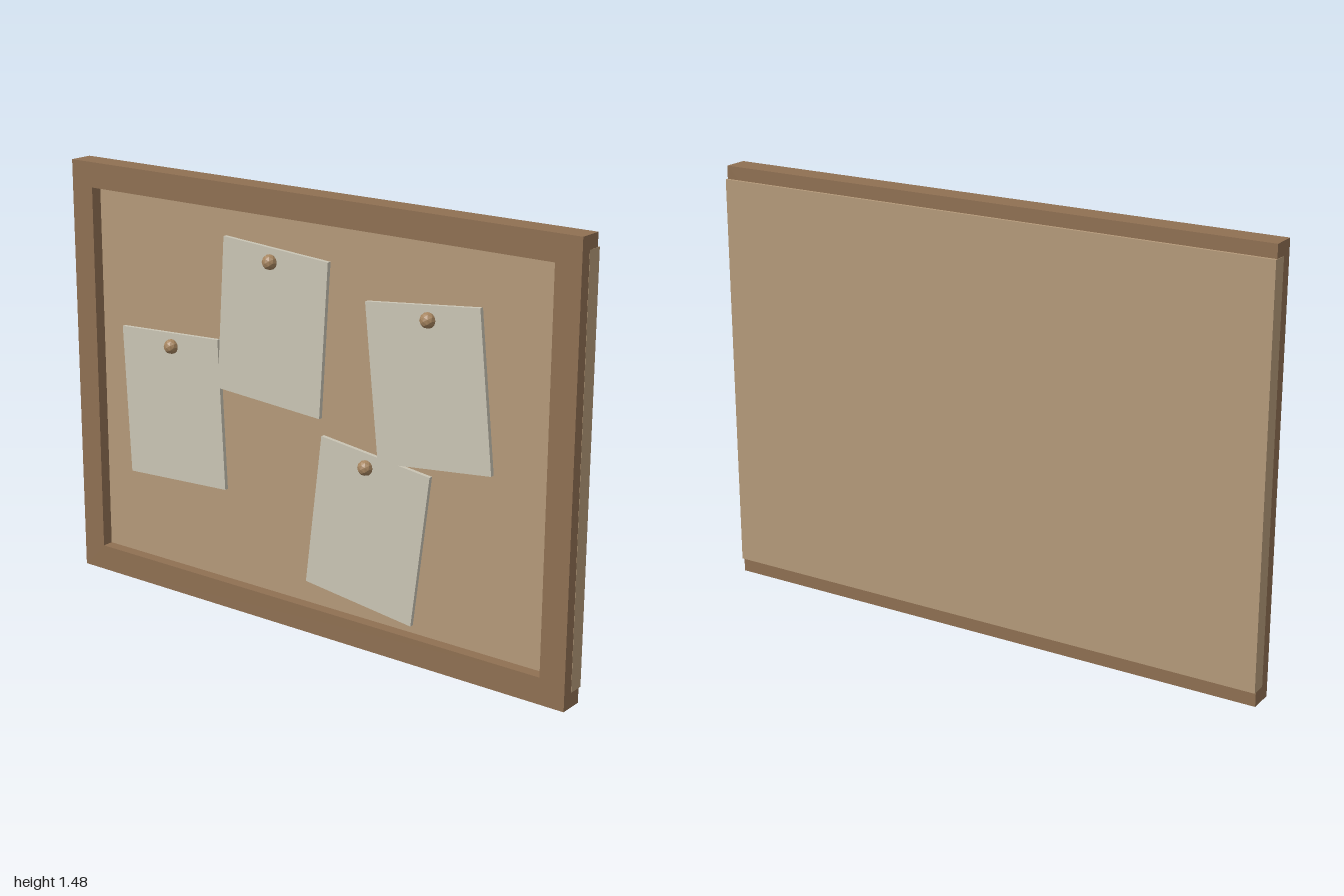
import * as THREE from 'three';

export function createModel() {
  const group = new THREE.Group();
  group.name = 'pinboard';

  const mat = (name, color) => {
    const m = new THREE.MeshStandardMaterial({ color });
    m.name = name;
    return m;
  };
  const wood = mat('frameWood', 0x8f7052);
  const cork = mat('cork', 0xb59a7a);
  const paper = mat('paper', 0xcac5b5);
  const brass = mat('pinBrass', 0xa5845f);
  brass.flatShading = true;

  const add = (name, geometry, material, x, y, z, turn = 0) => {
    const mesh = new THREE.Mesh(geometry, material);
    mesh.name = name;
    mesh.position.set(x, y, z);
    mesh.rotation.z = THREE.MathUtils.degToRad(turn);
    group.add(mesh);
  };

  // Rectangle outline, used for the frame and its opening
  const rect = (path, x, y0, y1) =>
    path.moveTo(-x, y0).lineTo(x, y0).lineTo(x, y1).lineTo(-x, y1).closePath();

  // Wooden frame with a rectangular opening, a hair narrower than the backing
  const outline = rect(new THREE.Shape(), 0.9992, 0, 1.475);
  outline.holes.push(rect(new THREE.Path(), 0.91, 0.09, 1.388));
  const frame = new THREE.ExtrudeGeometry(outline, { depth: 0.085, bevelEnabled: false });
  add('frame', frame, wood, 0, 0, -0.04);

  // Cork panel, reaching the sides and standing proud of the frame at the back
  add('corkBoard', new THREE.BoxGeometry(2, 1.38, 0.055), cork, 0, 0.74, -0.0225);

  // Notes: centre x, centre y, turn in degrees, small lift where they overlap
  const notes = [
    [-0.585, 0.664, 2.8, 0],
    [-0.155, 1.017, -3.7, 0.0005],
    [0.46, 0.924, 6, 0.0005],
    [0.23, 0.402, -7, 0],
  ];
  const sheet = new THREE.BoxGeometry(0.427, 0.522, 0.018);
  const pinHead = new THREE.IcosahedronGeometry(0.026, 1);
  for (const [x, y, turn, lift] of notes) {
    add('note', sheet, paper, x, y, 0.01 + lift, turn);
    add('pin', pinHead, brass, x, y + 0.216, 0.024);
  }

  return group;
}
